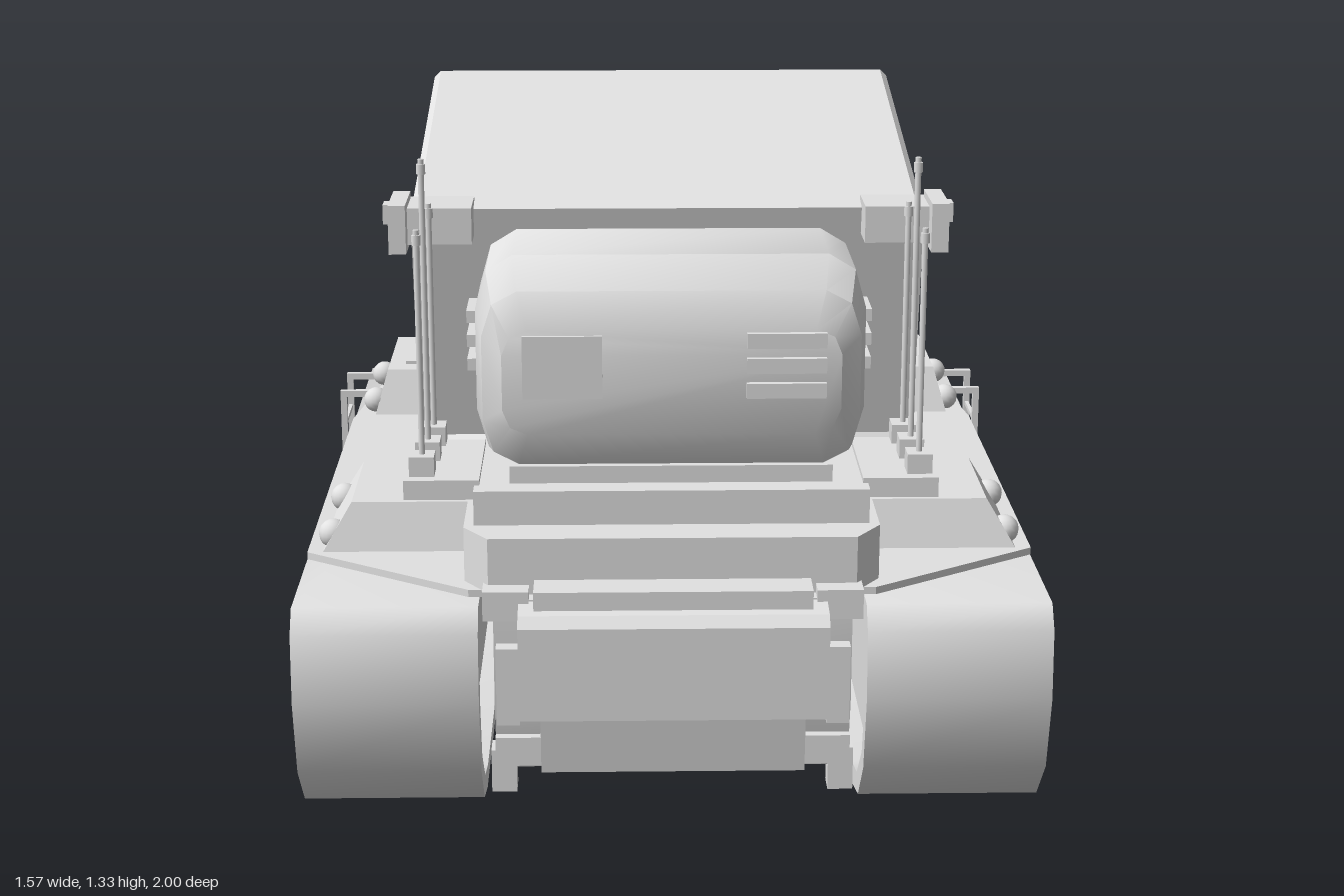
import * as THREE from 'three';
import { toCreasedNormals } from 'three/addons/utils/BufferGeometryUtils.js';

const grey = new THREE.MeshStandardMaterial({ color: 0xe2e2e2 });
grey.name = 'light grey';
const SIDES = [-1, 1];

export function createModel() {
  const model = new THREE.Group();
  model.name = 'rocketCarrier';

  const add = (name, geo, x = 0, y = 0, z = 0, parent = model) => {
    const m = new THREE.Mesh(geo, grey);
    m.name = name;
    m.position.set(x, y, z);
    parent.add(m);
    return m;
  };
  // box given by its limits
  const box = (name, x0, x1, y0, y1, z0, z1, parent) =>
    add(name, new THREE.BoxGeometry(Math.abs(x1 - x0), y1 - y0, z1 - z0), (x0 + x1) / 2, (y0 + y1) / 2, (z0 + z1) / 2, parent);
  const shapeOf = (pts) => new THREE.Shape(pts.map(([a, b]) => new THREE.Vector2(a, b)));
  const extrude = (shape, depth) => new THREE.ExtrudeGeometry(shape, { depth, bevelEnabled: false });
  // side profile in (z, y), extruded from x0 to x1
  const profile = (name, shape, x0, x1, crease = 0.5) =>
    add(name, toCreasedNormals(extrude(shape, x1 - x0).rotateY(-Math.PI / 2), crease), x1);
  // plan outline in (x, z), extruded from y0 to y1
  const plan = (name, pts, y0, y1) =>
    add(name, extrude(shapeOf(pts.map(([x, z]) => [x, -z])), y1 - y0).rotateX(-Math.PI / 2), 0, y0);
  const rod = (name, r, len, x, y, z) => add(name, new THREE.CylinderGeometry(r, r, len, 8), x, y, z);
  // fender locker: the top is drawn in at the outer side and at both ends
  const locker = (name, s, x0, x1, y0, y1, z0, z1, dx, dz) => {
    const m = box(name, s * x0, s * x1, y0, y1, z0, z1);
    const p = m.geometry.attributes.position;
    for (let i = 0; i < p.count; i++) {
      if (p.getY(i) < 0) continue;
      if (p.getX(i) * s > 0) p.setX(i, p.getX(i) - s * dx);
      p.setZ(i, p.getZ(i) - Math.sign(p.getZ(i)) * dz);
    }
    m.geometry.computeVertexNormals();
  };

  // ---- hull
  profile('hull', shapeOf([[0.88, 0.13], [0.92, 0.28], [0.92, 0.5], [-0.84, 0.5], [-0.89, 0.44], [-0.86, 0.34], [-0.8, 0.13]]), -0.35, 0.35);
  profile('lowerNose', shapeOf([[0.8, 0.13], [0.93, 0.14], [0.95, 0.3], [0.8, 0.3]]), -0.26, 0.26);
  profile('noseBox', shapeOf([[0.9, 0.28], [1, 0.28], [1, 0.47], [0.98, 0.49], [0.9, 0.5]]), -0.3, 0.3);
  box('noseLip', -0.27, 0.27, 0.47, 0.53, 0.88, 0.96);
  plan('fenderDeck', [[-0.74, -0.28], [-0.74, 0.65], [-0.4, 0.87], [0.4, 0.87], [0.74, 0.65], [0.74, -0.28], [0.68, -0.69], [0.36, -0.69], [0.36, -0.8], [-0.36, -0.8], [-0.36, -0.69], [-0.68, -0.69]], 0.488, 0.503);
  plan('frontDeck', [[-0.41, 0.3], [-0.41, 0.82], [-0.36, 0.89], [0.36, 0.89], [0.41, 0.82], [0.41, 0.3]], 0.5, 0.615);
  // middle deck falls away to the fenders
  add('midDeck', extrude(shapeOf([[-0.55, 0.5], [0.55, 0.5], [0.38, 0.545], [-0.38, 0.545]]), 0.7), 0, 0, -0.5);
  box('deckStep', -0.4, 0.4, 0.5, 0.59, 0.12, 0.32);
  profile('rearDeck', shapeOf([[0, 0.53], [0, 0.545], [-0.3, 0.615], [-0.65, 0.615], [-0.8, 0.56], [-0.83, 0.5], [-0.4, 0.5]]), -0.24, 0.24);
  box('rearShelf', -0.36, 0.36, 0.5, 0.545, -0.67, -0.4);
  profile('rearBox', shapeOf([[-0.8, 0.42], [-0.8, 0.56], [-0.86, 0.555], [-0.905, 0.53], [-0.905, 0.44], [-0.89, 0.42]]), -0.2, 0.2);
  box('rearPlate', -0.155, 0.155, 0.605, 0.632, -0.65, -0.52);
  const hatch = box('rearHatch', -0.11, 0.09, 0.585, 0.615, -0.8, -0.67);
  hatch.rotation.x = -0.35;
  const handle = box('hatchHandle', -0.055, 0.055, 0.612, 0.625, -0.73, -0.71);
  handle.rotation.x = -0.35;
  // small upturned fin on the deck
  profile('deckFin', shapeOf([[-0.3, 0.61], [-0.44, 0.61], [-0.465, 0.69], [-0.472, 0.77], [-0.45, 0.7], [-0.42, 0.66], [-0.36, 0.64]]), 0.21, 0.23);

  // ---- running gear
  const trackPts = [[0.7, 0], [0.81, 0.03], [0.9, 0.13], [0.937, 0.29], [0.925, 0.43], [0.89, 0.475], [-0.82, 0.475], [-0.92, 0.4], [-0.975, 0.32], [-1, 0.24], [-0.97, 0.16], [-0.92, 0.08], [-0.82, 0]];
  const innerPts = trackPts.map(([z, y]) => [-0.03 + (z + 0.03) * 0.96, 0.238 + (y - 0.238) * 0.84]);
  const wheelGeo = toCreasedNormals(new THREE.LatheGeometry(
    [[0.168, 0], [0.168, 0.05], [0.157, 0.05], [0.153, 0.035], [0.118, 0.03], [0.115, 0.035], [0.085, 0.048], [0.045, 0.058], [0, 0.062]]
      .map(([r, h]) => new THREE.Vector2(r, h)), 32), 0.5);
  for (const s of SIDES) {
    const at = (a, b) => (s > 0 ? [a, b] : [-b, -a]);
    const band = shapeOf(trackPts);
    band.holes.push(new THREE.Path(innerPts.map(([z, y]) => new THREE.Vector2(z, y))));
    profile('trackBand', band, ...at(0.38, 0.745), 0.95);
    profile('trackWall', shapeOf(innerPts), ...at(0.42, 0.69));
    for (let i = 0; i < 5; i++) {
      const w = add('roadWheel', wheelGeo, s * 0.685, 0.24, 0.685 - i * 0.358);
      w.rotation.z = -s * Math.PI / 2;
    }
    // nose fittings and tow brackets
    box('noseBracket', s * 0.3, s * 0.345, 0.25, 0.41, 0.86, 0.95);
    box('noseCorner', s * 0.28, s * 0.37, 0.46, 0.52, 0.86, 0.93);
    box('towArm', s * 0.25, s * 0.35, 0.15, 0.21, 0.82, 0.92);
    box('towFoot', s * 0.31, s * 0.36, 0.08, 0.17, 0.84, 0.89);
    box('rearBracket', s * 0.25, s * 0.32, 0.37, 0.49, -0.91, -0.84);
    box('rearKnob', s * 0.23, s * 0.33, 0.48, 0.535, -0.92, -0.87);
    box('rearLug', s * 0.26, s * 0.37, 0.5, 0.55, -0.84, -0.77);

    // fender lockers with lamps
    locker('frontLocker', s, 0.4, 0.71, 0.5, 0.6, 0.32, 0.65, 0.06, 0.03);
    locker('rearLocker', s, 0.36, 0.69, 0.5, 0.605, -0.69, -0.31, 0.03, 0.04);
    box('lockerLid', s * 0.42, s * 0.62, 0.6, 0.612, -0.62, -0.4);
    for (const z of [0.61, 0.38, -0.35, -0.58]) {
      add('lamp', new THREE.SphereGeometry(0.03, 16, 10), s * 0.69, 0.53, z);
      const cup = rod('lampCup', 0.025, 0.07, s * 0.655, 0.53, z);
      cup.rotation.z = Math.PI / 2;
    }

    // hanging ladder
    for (const z of [-0.43, -0.585]) {
      box('ladderRail', s * 0.77, s * 0.785, 0.1, 0.53, z - 0.008, z + 0.008);
      box('ladderHook', s * 0.66, s * 0.785, 0.515, 0.53, z - 0.008, z + 0.008);
    }
    for (const y of [0.2, 0.32, 0.44]) box('ladderRung', s * 0.773, s * 0.782, y, y + 0.01, -0.585, -0.43);
  }

  // ---- turret base and cabin
  box('turretBase', -0.39, 0.39, 0.61, 0.685, 0.47, 0.81);
  box('turretShelf', -0.51, 0.51, 0.63, 0.66, 0.48, 0.62);
  box('cabinFoot', -0.32, 0.32, 0.685, 0.72, 0.49, 0.76);

  // cabin lofted from chamfered cross-sections: z, half width, bottom, top, corner width, corner height
  const sections = [[0.47, 0.385, 0.712, 1.135, 0.075, 0.11], [0.7, 0.385, 0.712, 1.135, 0.075, 0.11], [0.775, 0.37, 0.73, 1.08, 0.07, 0.09], [0.808, 0.33, 0.8, 1.01, 0.05, 0.05]];
  const pos = [], idx = [];
  const N = 12;
  for (const [z, w, b, t, rx, ry] of sections) {
    [[1, 1], [-1, 1], [-1, -1], [1, -1]].forEach(([sx, sy], q) => {
      for (let k = 0; k < 3; k++) {
        const a = (q + k / 2) * Math.PI / 2;
        const cy = sy > 0 ? t - ry : b + ry;
        pos.push(sx * (w - rx) + Math.cos(a) * rx, cy + Math.sin(a) * ry, z);
      }
    });
  }
  for (let j = 0; j < sections.length - 1; j++) {
    for (let i = 0; i < N; i++) {
      const a = j * N + i, b = j * N + (i + 1) % N;
      idx.push(a, b, b + N, a, b + N, a + N);
    }
  }
  const last = (sections.length - 1) * N;
  for (let i = 1; i < N - 1; i++) idx.push(0, i + 1, i, last, last + i, last + i + 1);
  const cabin = new THREE.BufferGeometry();
  cabin.setAttribute('position', new THREE.Float32BufferAttribute(pos, 3));
  cabin.setIndex(idx);
  add('cabin', toCreasedNormals(cabin, 0.55));
  box('cabinWindow', -0.29, -0.135, 0.875, 1.0, 0.79, 0.815);
  for (const y of [0.89, 0.94, 0.99]) {
    box('frontVent', 0.145, 0.3, y - 0.015, y + 0.015, 0.79, 0.82);
    for (const s of SIDES) box('sideVent', s * 0.37, s * 0.41, y - 0.025, y, 0.47, 0.575);
  }

  // antennas and launcher mounts
  for (const s of SIDES) {
    box('antennaShelf', s * 0.38, s * 0.53, 0.655, 0.695, 0.5, 0.77);
    for (const [z, x, top] of [[0.72, 0.495, 1.19], [0.62, 0.49, 1.31], [0.52, 0.485, 1.2]]) {
      box('antennaBase', s * (x - 0.025), s * (x + 0.025), 0.69, 0.735, z - 0.025, z + 0.025);
      rod('antenna', 0.006, top - 0.73, s * x, (top + 0.73) / 2, z);
      rod('antennaTip', 0.009, 0.02, s * x, top - 0.02, z);
    }
    box('mountArm', s * 0.4, s * 0.55, 1.11, 1.185, 0.38, 0.5);
    box('mountBlock', s * 0.53, s * 0.565, 1.1, 1.2, 0.4, 0.545);
    box('mountKnob', s * 0.56, s * 0.58, 1.15, 1.19, 0.45, 0.49);
  }

  // ---- launcher, tilted up towards the rear
  const launcher = new THREE.Group();
  launcher.name = 'launcher';
  launcher.position.set(0, 0.988, -0.025);
  launcher.rotation.x = 0.2;
  model.add(launcher);
  const W = 0.53, H = 0.264, L = 0.403, back = -0.335, c0 = 0.015;
  const outline = [[-W, -H + c0], [-W + c0, -H], [W - c0, -H], [W, -H + c0], [W, H - c0], [W - c0, H], [-W + c0, H], [-W, H - c0]];
  add('launcherBody', extrude(shapeOf(outline), L - back), 0, 0, back, launcher);
  const face = shapeOf(outline);
  // bowl with a pointed nose inside, facing the rear
  const tube = toCreasedNormals(new THREE.LatheGeometry(
    [[0.111, 0], [0.111, 0.04], [0.105, 0.04], [0.088, 0.004], [0, 0.068]].map(([r, h]) => new THREE.Vector2(r, h)), 28), 0.6).rotateX(-Math.PI / 2);
  for (let c = 0; c < 4; c++) {
    for (let r = 0; r < 2; r++) {
      const x = (c - 1.5) * 0.254, y = (r - 0.5) * 0.244;
      const hole = [[-1, -1], [-1, 1], [1, 1], [1, -1]].map(([a, b]) => new THREE.Vector2(x + a * 0.118, y + b * 0.113));
      face.holes.push(new THREE.Path(hole));
      add('rocketTube', tube, x, y, back, launcher);
    }
  }
  add('launcherFrame', extrude(face, back + L), 0, 0, -L, launcher);
  for (const s of SIDES) {
    box('sidePanelEdge', s * 0.52, s * 0.537, -0.175, 0.175, -0.19, 0.19, launcher);
    box('sidePanel', s * 0.53, s * 0.545, -0.167, 0.167, -0.182, 0.182, launcher);
  }
  return model;
}
